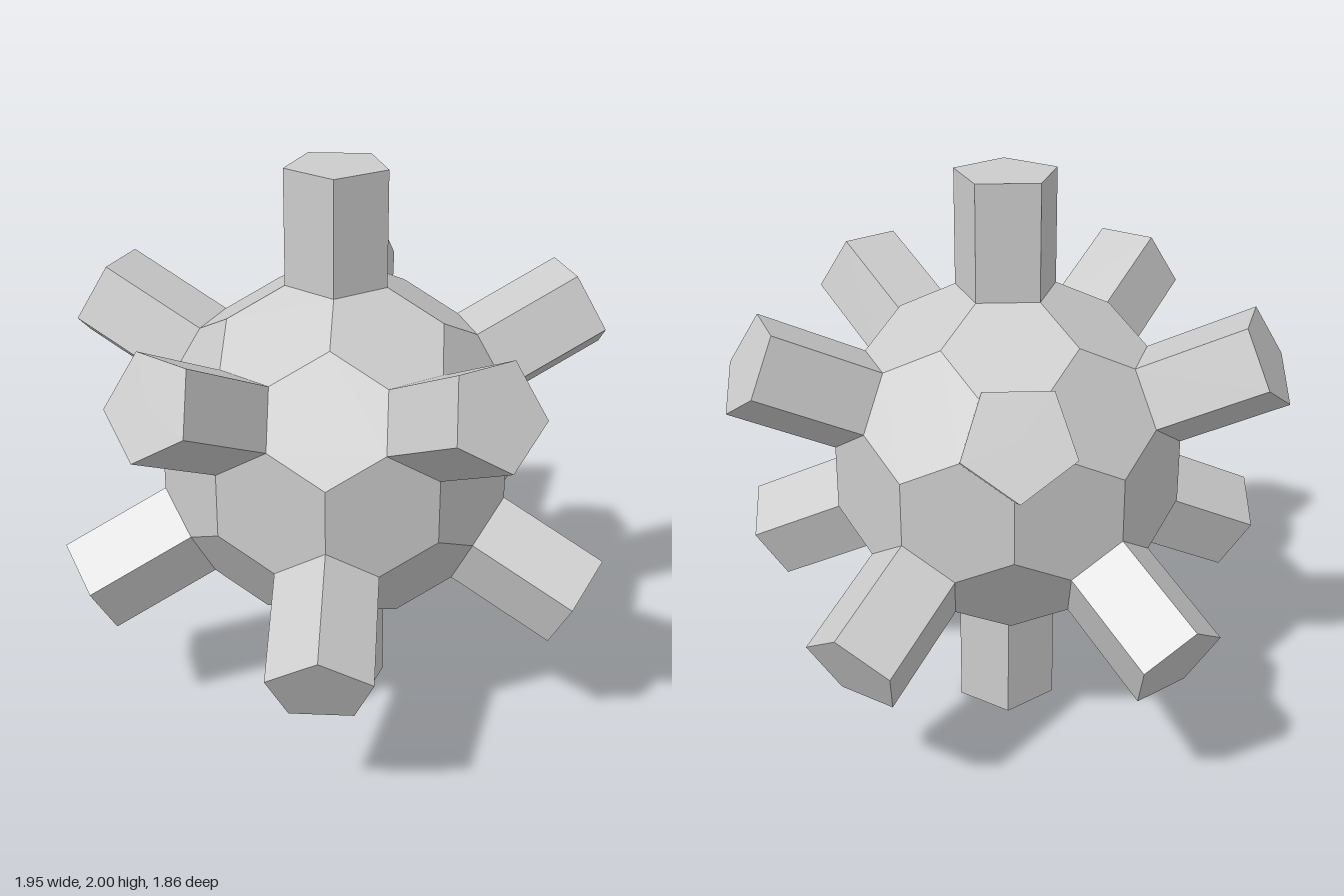
import * as THREE from 'three';
import { ConvexGeometry } from 'three/addons/geometries/ConvexGeometry.js';

const FACE = 0.6;    // centre to pentagon face
const TIP = 1.0;     // centre to spike end
const R = 0.181;     // pentagon circumradius

// Twelve spike axes: top, bottom and two staggered rings of five
function spikeAxes() {
  const axes = [new THREE.Vector3(0, 1, 0), new THREE.Vector3(0, -1, 0)];
  const h = 1 / Math.sqrt(5);
  for (let i = 0; i < 5; i++) {
    const a = (i * Math.PI * 2) / 5;
    const v = new THREE.Vector3(2 * h * Math.cos(a), h, 2 * h * Math.sin(a));
    axes.push(v, v.clone().negate());
  }
  return axes;
}

// Frame whose y is the axis and whose x points away from a neighbouring spike,
// so that pentagons face each other edge to edge
function spikeFrame(axis, axes) {
  const near = axes.find((b) => Math.abs(axis.dot(b) - 1 / Math.sqrt(5)) < 0.01);
  const x = axis.clone().multiplyScalar(axis.dot(near)).sub(near).normalize();
  const z = new THREE.Vector3().crossVectors(x, axis);
  return new THREE.Matrix4().makeBasis(x, axis, z);
}

export function createModel() {
  const group = new THREE.Group();
  group.name = 'spikedBall';
  const material = new THREE.MeshStandardMaterial({ color: 0xcccccc, flatShading: true });
  const axes = spikeAxes();
  const frames = axes.map((a) => spikeFrame(a, axes));

  // Pentagon corners of the body
  const points = [];
  for (const frame of frames) {
    for (let i = 0; i < 5; i++) {
      const a = (i * Math.PI * 2) / 5;
      points.push(new THREE.Vector3(R * Math.cos(a), FACE, R * Math.sin(a)).applyMatrix4(frame));
    }
  }
  // Corners where three hexagons meet, placed to keep the hexagons flat
  const tilt = Math.acos(1 / Math.sqrt(5)) / 2;
  const hexDistance = FACE * Math.cos(tilt) + R * Math.cos(Math.PI / 5) * Math.sin(tilt);
  const near = (a, b) => a.dot(b) > 0.4;
  for (let i = 0; i < 12; i++) for (let j = i + 1; j < 12; j++) for (let k = j + 1; k < 12; k++) {
    const [a, b, c] = [axes[i], axes[j], axes[k]];
    if (!near(a, b) || !near(b, c) || !near(a, c)) continue;
    const corner = a.clone().add(b).add(c).normalize();
    const hexNormal = a.clone().add(b).normalize();
    points.push(corner.multiplyScalar(hexDistance / corner.dot(hexNormal)));
  }
  const body = new THREE.Mesh(new ConvexGeometry(points), material);
  body.name = 'body';
  body.position.y = 1;
  group.add(body);

  // Pentagonal prisms standing on every pentagon, rooted slightly inside the body
  const root = FACE - 0.02;
  const prism = new THREE.CylinderGeometry(R, R, TIP - root, 5, 1, false, Math.PI / 2);
  prism.translate(0, (TIP + root) / 2, 0);
  frames.forEach((frame, i) => {
    const spike = new THREE.Mesh(prism, material);
    spike.name = `spike${i + 1}`;
    spike.quaternion.setFromRotationMatrix(frame);
    spike.position.y = 1;
    group.add(spike);
  });
  return group;
}
